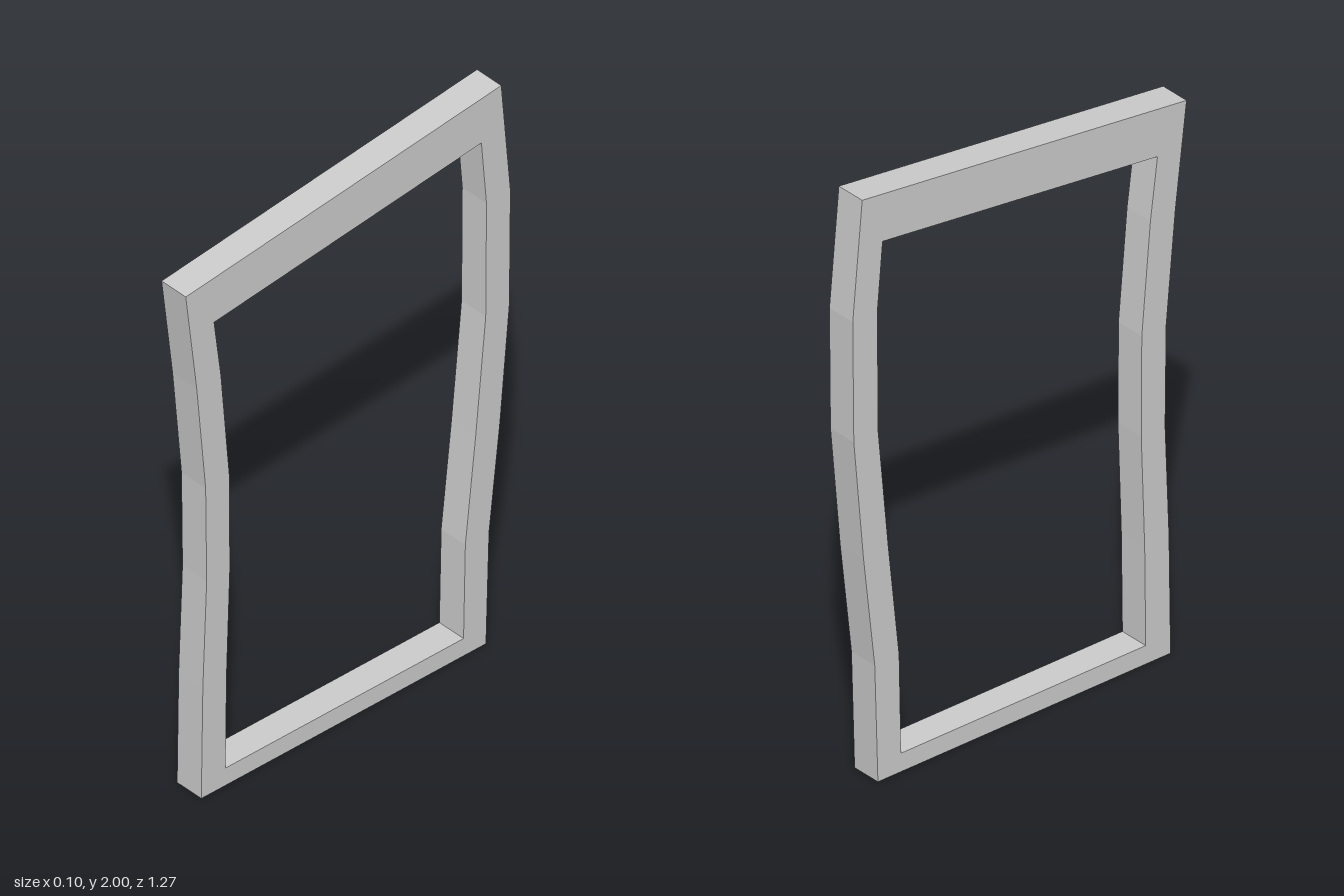
import * as THREE from 'three';

const WIDTH = 0.105;

// Edge lines as [z, y], each running from bottom to top
const frontOuter = [[0.577, 0], [0.571, 0.4], [0.556, 0.78], [0.56, 1.12], [0.595, 1.5], [0.638, 1.855]];
const backOuter = [[-0.54, 0], [-0.552, 0.4], [-0.595, 0.78], [-0.632, 1.19], [-0.636, 1.6], [-0.6, 2]];
const frontInner = [[0.482, 0.063], [0.478, 0.4], [0.465, 0.78], [0.467, 1.12], [0.5, 1.5], [0.527, 1.707]];
const backInner = [[-0.452, 0.063], [-0.459, 0.4], [-0.5, 0.78], [-0.539, 1.19], [-0.542, 1.6], [-0.522, 1.83]];

// Closed loop: up the front edge, down the back edge
const loop = (front, back) =>
  [...front, ...[...back].reverse()].map(([z, y]) => new THREE.Vector2(z, y));

export function createModel() {
  const group = new THREE.Group();
  group.name = 'frame';

  // Bent frame outline with its opening, drawn in the z-y plane
  const shape = new THREE.Shape(loop(frontOuter, backOuter));
  shape.holes.push(new THREE.Path(loop(frontInner, backInner)));

  const geometry = new THREE.ExtrudeGeometry(shape, { depth: WIDTH, bevelEnabled: false });
  geometry.translate(0, 0, -WIDTH / 2);
  geometry.rotateY(-Math.PI / 2);

  const material = new THREE.MeshStandardMaterial({ color: 0xcccccc, flatShading: true });
  const frame = new THREE.Mesh(geometry, material);
  frame.name = 'bentFrame';
  group.add(frame);
  return group;
}
